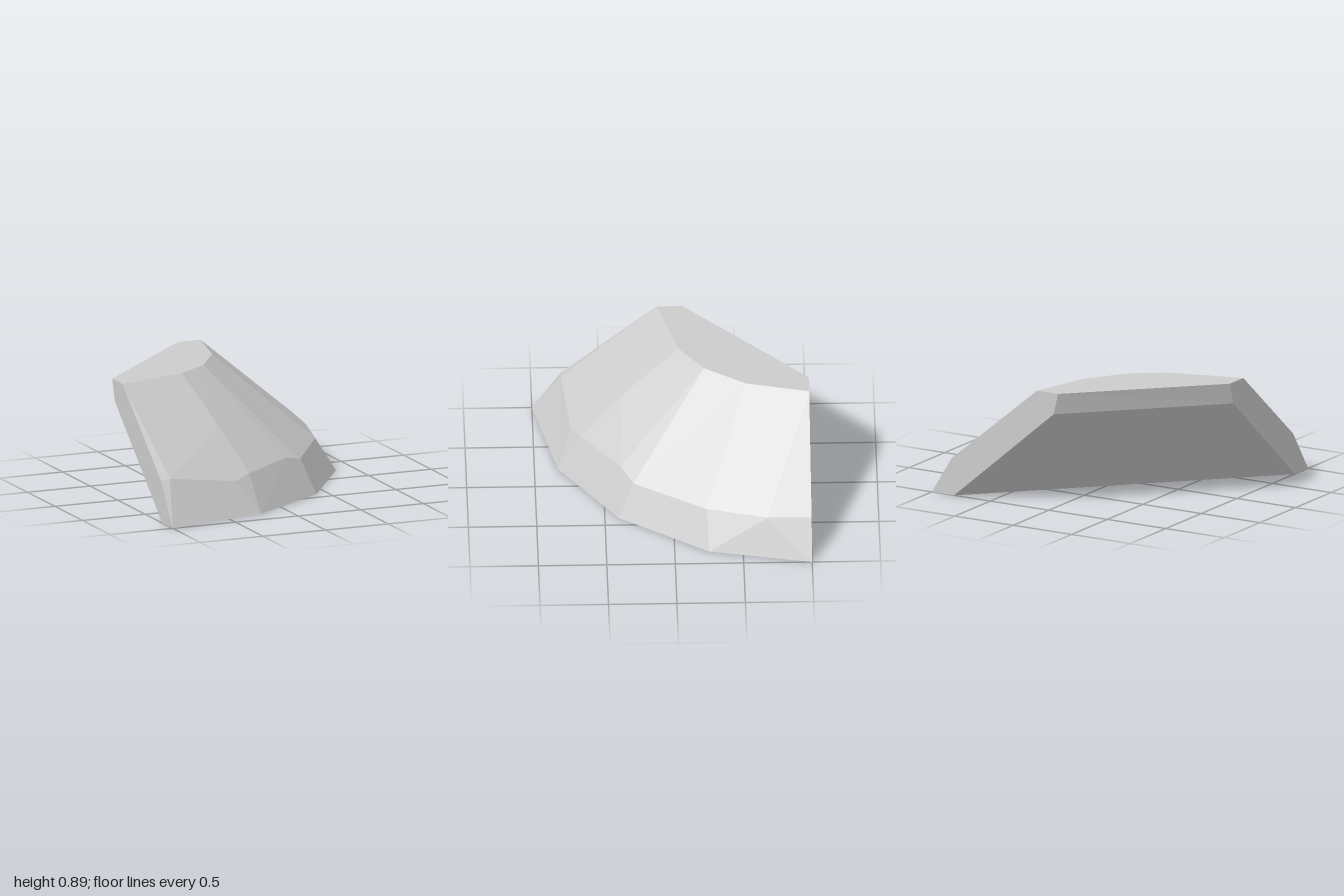
import * as THREE from 'three';

// Corner points of the rock, ring by ring, running from the back end to the left end
const rings = {
  // rim of the flat top
  T: [[0.1, 0.89, -1], [-0.01, 0.89, -0.54], [-0.21, 0.89, -0.24], [-0.46, 0.89, -0.06], [-1, 0.89, 0.09]],
  // bulge on the upper slope
  P: [[-0.35, 0.57, 0.35]],
  // break between upper and lower slope
  M: [[0.83, 0.28, -1], [0.8, 0.26, -0.68], [0.68, 0.26, -0.24], [0.33, 0.25, 0.29], [0.17, 0.29, 0.38],
    [-0.24, 0.27, 0.66], [-0.38, 0.24, 0.73], [-0.93, 0.32, 0.79], [-1, 0.31, 0.79]],
  // outer foot
  B: [[1, 0, -1], [0.85, 0, -0.25], [0.41, 0, 0.4], [-0.22, 0, 0.83], [-1, 0, 1]],
  // hidden back: top edge, lip, inner foot
  K: [[-0.08, 0.89, -1], [-1, 0.89, -0.1]],
  L: [[-0.04, 0.73, -1], [-1, 0.73, -0.05]],
  D: [[0.81, 0, -1], [-1, 0, 0.81]],
};
const point = (name) => rings[name[0]][Number(name[1])];

// Each fan lists its centre, then its rim clockwise as seen from outside
const parts = {
  upperSlope: ['T0 M0 M1 M2 T1', 'T1 M2 M3 T2', 'T2 M3 M4 P0 T3', 'T3 P0 T4', 'P0 M4 M5 M6 M7 T4', 'T4 M7 M8'],
  lowerSlope: ['M1 M0 B0 B1 M2', 'M2 B1 B2 M3', 'B2 B3 M4 M3', 'B3 M7 M6 M5 M4', 'M7 B3 B4 M8'],
  flatTop: ['K0 T0 T1 T2 T3 T4 K1'],
  base: ['D0 D1 B4 B3 B2 B1 B0'],
  backEnd: ['K0 L0 D0 B0 M0 T0'],
  sideEnd: ['K1 T4 M8 B4 D1 L1'],
  backLip: ['K0 K1 L1 L0'],
  underside: ['L0 L1 D1 D0'],
};

function fanGeometry(fans) {
  const positions = [];
  for (const fan of fans) {
    const [centre, ...rim] = fan.split(' ').map(point);
    for (let i = 0; i + 1 < rim.length; i++) positions.push(...centre, ...rim[i + 1], ...rim[i]);
  }
  const geometry = new THREE.BufferGeometry();
  geometry.setAttribute('position', new THREE.Float32BufferAttribute(positions, 3));
  geometry.computeVertexNormals(); // unshared corners give flat facets
  return geometry;
}

export function createModel() {
  const group = new THREE.Group();
  group.name = 'cliffCorner';
  const stone = new THREE.MeshStandardMaterial({ color: 0xcccccc });
  stone.name = 'stone grey';
  for (const [name, fans] of Object.entries(parts)) {
    const mesh = new THREE.Mesh(fanGeometry(fans), stone);
    mesh.name = name;
    group.add(mesh);
  }
  return group;
}
